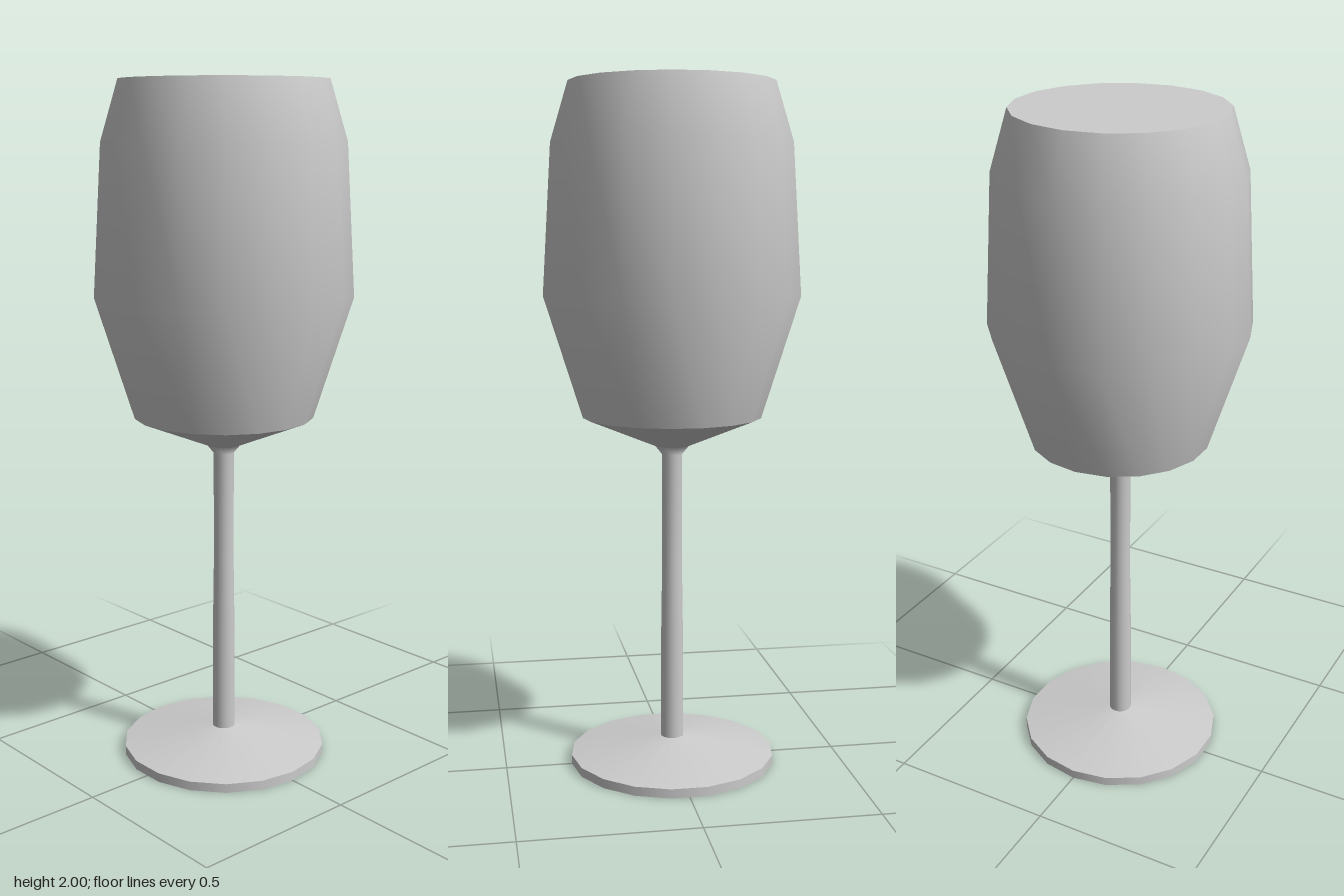
import * as THREE from 'three';

const SIDES = 18;

export function createModel() {
  const group = new THREE.Group();
  const material = new THREE.MeshStandardMaterial({ color: 0xcccccc, side: THREE.DoubleSide });

  // Turns a [radius, height] profile; each call is one smooth band with sharp ends
  const turn = (name, profile) => {
    const points = profile.map(([r, y]) => new THREE.Vector2(r, y));
    const mesh = new THREE.Mesh(new THREE.LatheGeometry(points, SIDES, Math.PI / 2), material);
    mesh.name = name;
    group.add(mesh);
  };

  // Foot: flat disc with a low conical top
  turn('footUnderside', [[0, 0], [0.305, 0]]);
  turn('footRim', [[0.305, 0], [0.305, 0.027]]);
  turn('footTop', [[0.305, 0.027], [0.034, 0.073]]);

  // Slender stem, flaring where it meets the bowl
  turn('stem', [[0.034, 0.073], [0.033, 0.4], [0.03, 0.6], [0.03, 0.935], [0.05, 0.96]]);

  // Bowl: conical underside, bulging wall and the flat surface filling the mouth
  turn('bowlUnderside', [[0.05, 0.96], [0.262, 1.047]]);
  turn('bowlWall', [[0.262, 1.047], [0.373, 1.4], [0.347, 1.83], [0.296, 2]]);
  turn('bowlTop', [[0.296, 2], [0, 2]]);

  return group;
}
